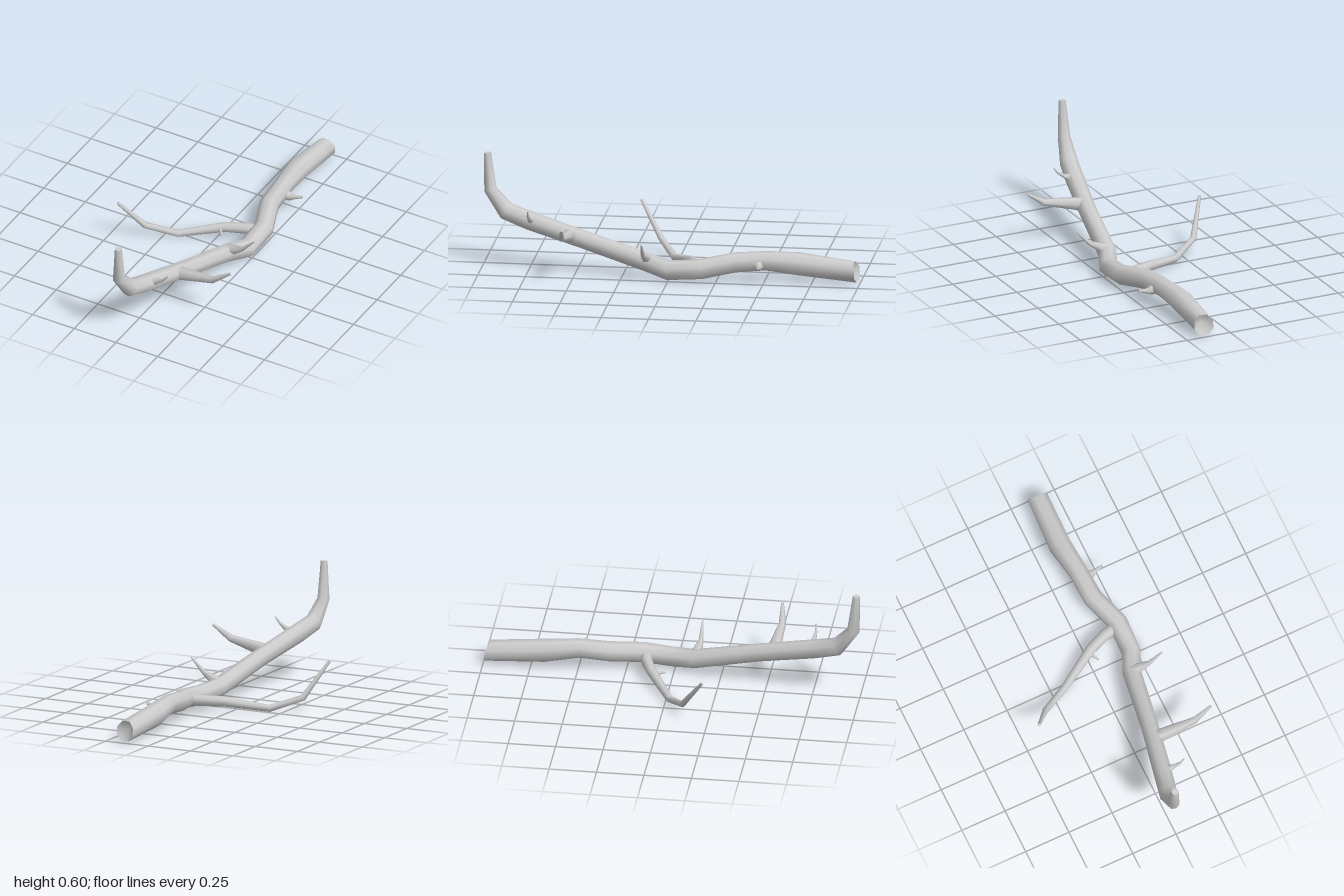
import * as THREE from 'three';

const material = new THREE.MeshStandardMaterial({ color: 0xcccccc, side: THREE.DoubleSide });

// Tapered limb through stations [x, y, z, radius]. The first end may be ragged:
// jag shifts its ring points along the limb, hollow sinks the cap centre.
function limb(name, stations, sides = 8, jag = [0], hollow = 0) {
  const pts = stations.map(s => new THREE.Vector3(s[0], s[1], s[2]));
  const last = pts.length - 1;
  const pos = [], idx = [];
  const rings = [];
  const tangents = pts.map((p, i) => {
    const t = new THREE.Vector3();
    if (i > 0) t.add(p.clone().sub(pts[i - 1]).normalize());
    if (i < last) t.add(pts[i + 1].clone().sub(p).normalize());
    return t.normalize();
  });

  // Carry one reference direction along the path so the limb does not twist
  const ref = Math.abs(tangents[0].y) > 0.9 ? new THREE.Vector3(0, 0, 1) : new THREE.Vector3(0, 1, 0);
  tangents.forEach((t, i) => {
    ref.addScaledVector(t, -ref.dot(t)).normalize();
    const side = new THREE.Vector3().crossVectors(t, ref);
    const ring = [];
    for (let k = 0; k < sides; k++) {
      const a = (k + 0.5) / sides * Math.PI * 2;
      const p = pts[i].clone()
        .addScaledVector(ref, Math.cos(a) * stations[i][3])
        .addScaledVector(side, Math.sin(a) * stations[i][3]);
      if (i === 0) p.addScaledVector(t, jag[k % jag.length]);
      ring.push(p);
      pos.push(p.x, p.y, p.z);
    }
    rings.push(ring);
  });

  // Bark
  for (let i = 0; i < last; i++) {
    for (let k = 0; k < sides; k++) {
      const a = i * sides + k, b = i * sides + (k + 1) % sides;
      idx.push(a, a + sides, b, b, a + sides, b + sides);
    }
  }

  // End caps on their own vertices, so their rims stay sharp
  for (const end of [0, last]) {
    const c = pts[end].clone();
    if (end === 0) c.addScaledVector(tangents[0], hollow);
    const base = pos.length / 3;
    pos.push(c.x, c.y, c.z);
    rings[end].forEach(p => pos.push(p.x, p.y, p.z));
    for (let k = 0; k < sides; k++) {
      const a = base + 1 + k, b = base + 1 + (k + 1) % sides;
      if (end === 0) idx.push(base, a, b);
      else idx.push(base, b, a);
    }
  }

  const geometry = new THREE.BufferGeometry();
  geometry.setAttribute('position', new THREE.Float32BufferAttribute(pos, 3));
  geometry.setIndex(idx);
  geometry.computeVertexNormals();
  const mesh = new THREE.Mesh(geometry, material);
  mesh.name = name;
  return mesh;
}

export function createModel() {
  const group = new THREE.Group();
  group.name = 'fallenBranch';

  // Main stem from the broken butt to the upturned tip
  group.add(limb('mainStem', [
    [0.145, 0.063, -0.978, 0.055],
    [0.13, 0.092, -0.68, 0.061],
    [0.15, 0.108, -0.5, 0.051],
    [0.16, 0.095, -0.34, 0.053],
    [0.222, 0.07, -0.17, 0.053],
    [0.218, 0.056, 0.0, 0.052],
    [0.168, 0.08, 0.11, 0.05],
    [0.107, 0.175, 0.46, 0.047],
    [0.045, 0.25, 0.75, 0.05],
    [0.015, 0.29, 0.88, 0.049],
    [0.0, 0.4, 0.967, 0.034],
    [0.004, 0.6, 0.982, 0.019],
  ], 8, [0.012, -0.006, -0.015, -0.018, -0.012, 0, 0.004, 0.014], 0.04));

  // Long bough reaching to the right
  group.add(limb('longBough', [
    [0.22, 0.065, -0.155, 0.032],
    [0.13, 0.062, -0.14, 0.03],
    [0.03, 0.06, -0.1, 0.027],
    [-0.18, 0.02, 0.022, 0.019],
    [-0.33, 0.075, 0.11, 0.017],
    [-0.425, 0.258, 0.228, 0.008],
  ]));
  group.add(limb('boughTwig', [
    [0.01, 0.06, -0.1, 0.018],
    [0.025, 0.056, -0.065, 0.008],
    [0.046, 0.053, -0.032, 0.004],
  ], 6));

  // Side shoots along the left of the stem
  const shoots = {
    largeShoot: [[0.09, 0.19, 0.53, 0.042], [0.15, 0.205, 0.535, 0.034],
      [0.325, 0.238, 0.548, 0.019], [0.425, 0.305, 0.535, 0.007]],
    middleShoot: [[0.16, 0.09, 0.115, 0.04], [0.21, 0.12, 0.12, 0.025],
      [0.262, 0.145, 0.128, 0.013], [0.338, 0.22, 0.127, 0.004]],
    frontTwig: [[0.06, 0.255, 0.74, 0.03], [0.105, 0.275, 0.745, 0.013],
      [0.142, 0.298, 0.75, 0.007], [0.17, 0.332, 0.748, 0.003]],
    backTwig: [[0.17, 0.095, -0.47, 0.036], [0.215, 0.085, -0.47, 0.02],
      [0.24, 0.09, -0.475, 0.011], [0.28, 0.1, -0.48, 0.007]],
  };
  for (const [name, stations] of Object.entries(shoots)) group.add(limb(name, stations, 6));

  return group;
}
